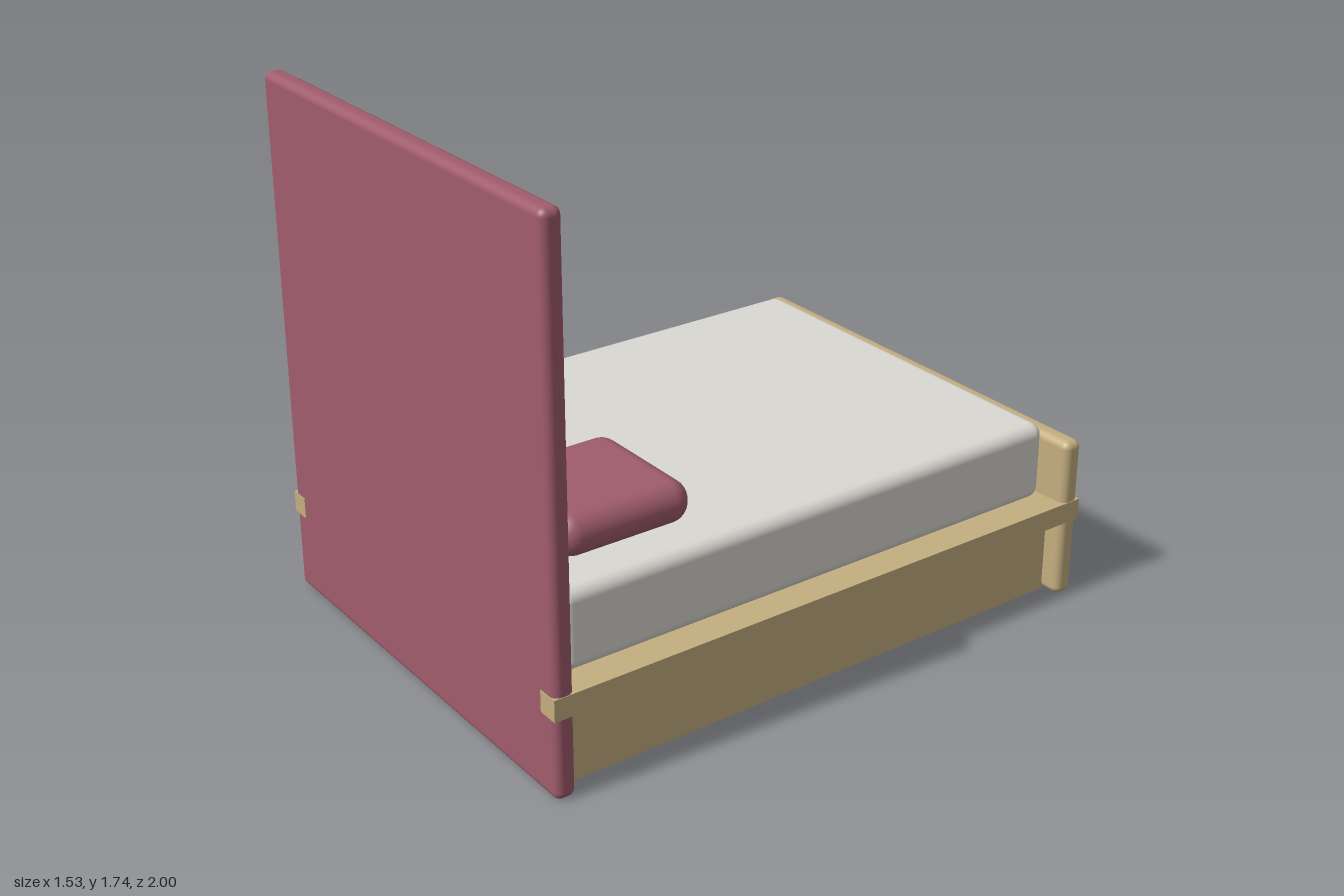
import * as THREE from 'three';
import { RoundedBoxGeometry } from 'three/addons/geometries/RoundedBoxGeometry.js';

const wood = new THREE.MeshStandardMaterial({ color: 0xc4ae80 });
const fabric = new THREE.MeshStandardMaterial({ color: 0xa05c6c });
const linen = new THREE.MeshStandardMaterial({ color: 0xdad8d2 });

// Box given by its minimum and maximum corners, rounded when a radius is set
function addBox(group, name, material, min, max, radius = 0) {
  const [w, h, d] = max.map((v, i) => v - min[i]);
  const geometry = radius
    ? new RoundedBoxGeometry(w, h, d, 6, radius)
    : new THREE.BoxGeometry(w, h, d);
  const mesh = new THREE.Mesh(geometry, material);
  mesh.name = name;
  mesh.position.set(...max.map((v, i) => (v + min[i]) / 2));
  group.add(mesh);
}

export function createModel() {
  const bed = new THREE.Group();
  bed.name = 'bed';

  // Upholstered headboard and low wooden footboard
  addBox(bed, 'headboard', fabric, [-0.765, 0, 0.93], [0.765, 1.735, 0.998], 0.025);
  addBox(bed, 'footboard', wood, [-0.765, 0, -0.998], [0.765, 0.545, -0.93], 0.025);

  // Base, set in under the side rails
  addBox(bed, 'base', wood, [-0.697, 0, -0.935], [0.697, 0.332, 0.935]);

  // Mattress
  addBox(bed, 'mattress', linen, [-0.682, 0.332, -0.913], [0.682, 0.592, 0.915], 0.04);

  // Side rails running through both end boards, and a pillow on each side
  for (const [side, s] of [['left', 1], ['right', -1]]) {
    const span = (a, b) => (s > 0 ? [a, b] : [-b, -a]);
    const [r0, r1] = span(0.697, 0.767);
    addBox(bed, side + 'Rail', wood, [r0, 0.265, -1], [r1, 0.335, 1]);
    const [p0, p1] = span(0.12, 0.573);
    addBox(bed, side + 'Pillow', fabric, [p0, 0.598, 0.38], [p1, 0.732, 0.832], 0.064);
  }

  return bed;
}
